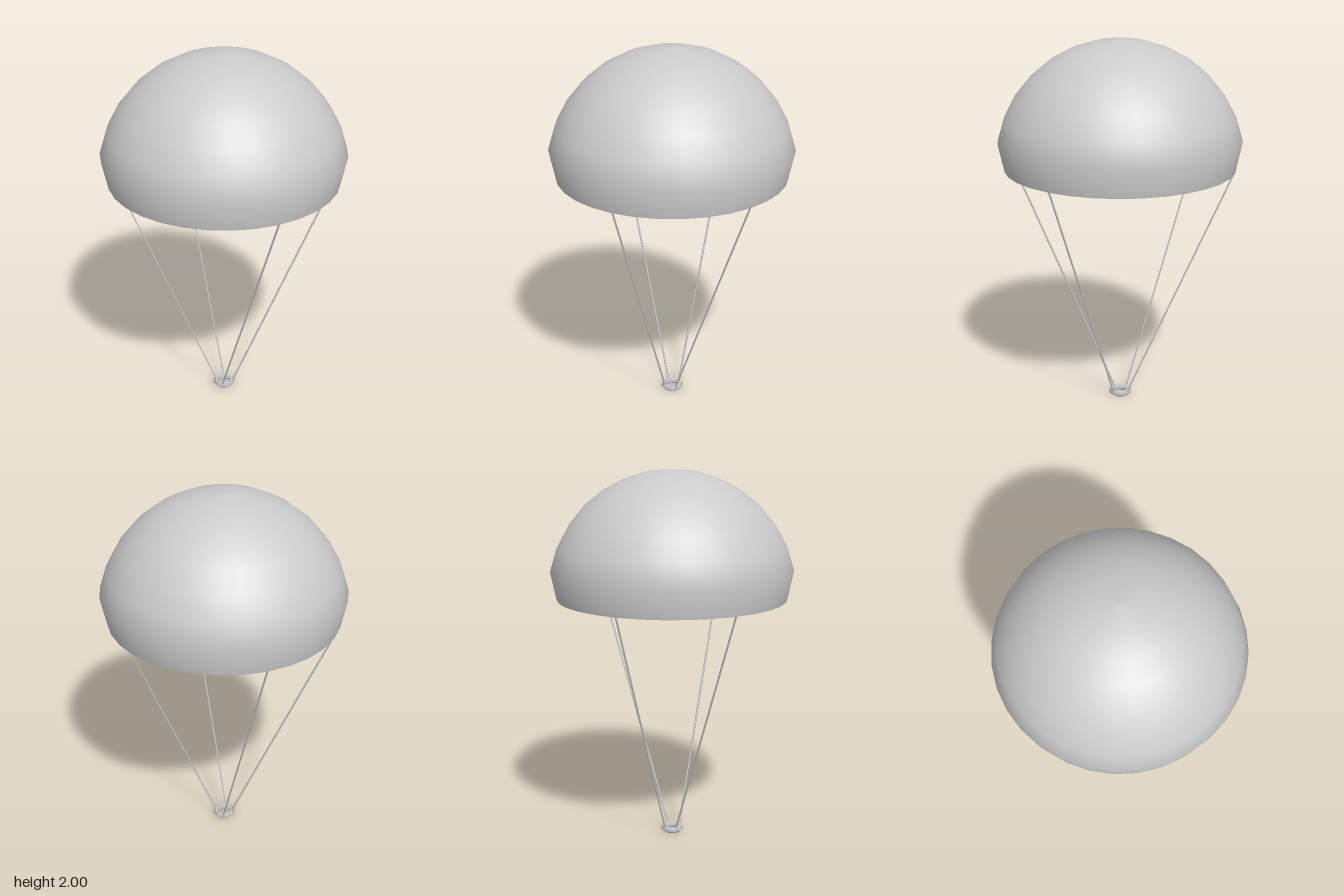
import * as THREE from 'three';

export function createModel() {
  const group = new THREE.Group();
  const material = new THREE.MeshStandardMaterial({ color: 0xcccccc, side: THREE.DoubleSide });
  const add = (name, geometry) => {
    const mesh = new THREE.Mesh(geometry, material);
    mesh.name = name;
    group.add(mesh);
    return mesh;
  };

  // Canopy: thin spherical dome whose lowest band tapers in to the open rim
  const radius = 0.656, centerY = 2 - radius, rimRadius = 0.612, rimY = 1.322;
  const profile = [new THREE.Vector2(rimRadius, rimY)];
  for (let i = 7; i >= 0; i--) {
    const a = (i * Math.PI) / 16;
    profile.push(new THREE.Vector2(radius * Math.sin(a), centerY + radius * Math.cos(a)));
  }
  add('canopy', new THREE.LatheGeometry(profile, 32));

  // Harness ring: small eight-sided ring with a diamond section
  const ring = add('harnessRing', new THREE.TorusGeometry(0.046, 0.018, 4, 8).rotateX(Math.PI / 2));
  ring.position.y = 0.018;

  // Suspension lines: thin straight cords from the rim to the ring
  const addLine = (name, top, bottom) => {
    const a = new THREE.Vector3(...bottom), b = new THREE.Vector3(...top);
    const dir = b.clone().sub(a);
    const line = add(name, new THREE.CylinderGeometry(0.005, 0.005, dir.length(), 4));
    line.position.copy(a).add(b).multiplyScalar(0.5);
    line.quaternion.setFromUnitVectors(new THREE.Vector3(0, 1, 0), dir.normalize());
  };
  addLine('frontLeftLine', [0.505, 1.33, 0.335], [0.015, 0.025, 0.042]);
  addLine('backLeftLine', [0.505, 1.33, -0.343], [0.046, 0.025, -0.016]);
  addLine('frontRightLine', [-0.562, 1.33, 0.243], [-0.04, 0.025, 0.016]);
  addLine('backRightLine', [-0.505, 1.33, -0.343], [-0.026, 0.025, -0.042]);

  return group;
}
